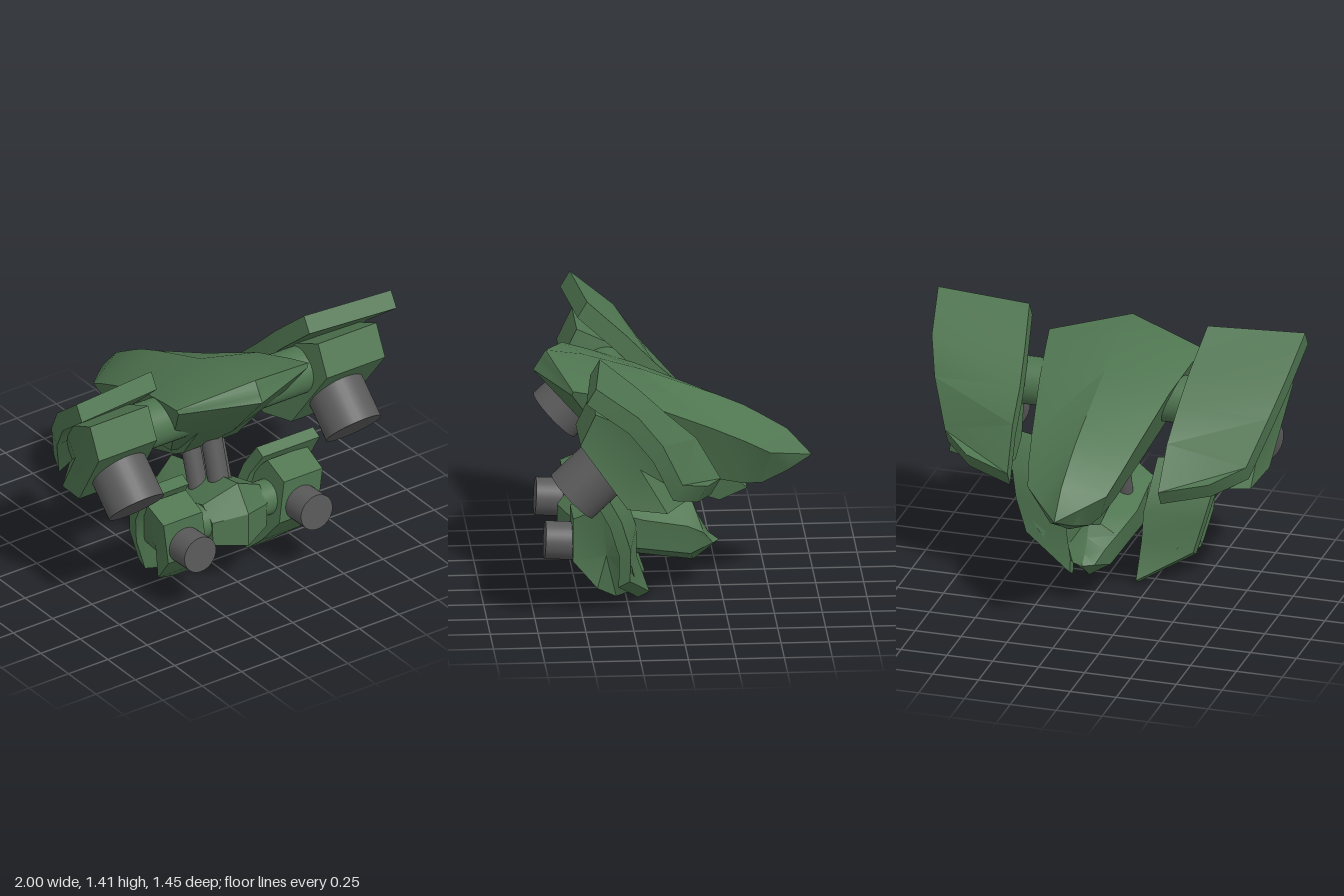
import * as THREE from 'three';
import { toCreasedNormals } from 'three/addons/utils/BufferGeometryUtils.js';

const green = new THREE.MeshStandardMaterial({ color: 0x4f7550 });
const grey = new THREE.MeshStandardMaterial({ color: 0x5a5a5a });

// Skins a row of equal-length rings into a closed solid, facing outward.
function loft(rings) {
  const tris = [];
  const n = rings[0].length;
  const P = rings.map(r => r.map(p => new THREE.Vector3(...p)));
  for (let i = 0; i < P.length - 1; i++) {
    for (let j = 0; j < n; j++) {
      const k = (j + 1) % n;
      tris.push([P[i][j], P[i][k], P[i + 1][k]], [P[i][j], P[i + 1][k], P[i + 1][j]]);
    }
  }
  const cap = (ring, flip) => {
    const c = new THREE.Vector3();
    ring.forEach(p => c.addScaledVector(p, 1 / n));
    ring.forEach((p, j) => {
      const q = ring[(j + 1) % n];
      tris.push(flip ? [c, q, p] : [c, p, q]);
    });
  };
  cap(P[0], true);
  cap(P[P.length - 1], false);
  const volume = tris.reduce((v, [a, b, c]) => v + a.dot(b.clone().cross(c)), 0);
  const pos = [];
  for (const [a, b, c] of tris) {
    for (const p of volume > 0 ? [a, b, c] : [a, c, b]) pos.push(p.x, p.y, p.z);
  }
  const g = new THREE.BufferGeometry();
  g.setAttribute('position', new THREE.Float32BufferAttribute(pos, 3));
  return toCreasedNormals(g, 0.48);
}

function part(name, geometry, material = green) {
  const m = new THREE.Mesh(geometry, material);
  m.name = name;
  return m;
}

// Cylinder running between two points.
function rod(name, a, b, radius, material) {
  const A = new THREE.Vector3(...a), B = new THREE.Vector3(...b);
  const m = part(name, new THREE.CylinderGeometry(radius, radius, A.distanceTo(B), 32), material);
  m.position.copy(A).lerp(B, 0.5);
  m.quaternion.setFromUnitVectors(new THREE.Vector3(0, 1, 0), B.sub(A).normalize());
  return m;
}

// Symmetric hull: each station is [top, side, lower side, bottom].
function hull(stations) {
  const flip = p => [-p[0], p[1], p[2]];
  return loft(stations.map(([t, s, l, b]) => [t, s, l, b, flip(l), flip(s)]));
}

// Curved plate between an outer and an inner edge, with a thickness offset.
function plate(side, pairs, dy, dz) {
  return loft(pairs.map(([o, i]) => [
    [side * o[0], o[1], o[2]], [side * i[0], i[1], i[2]],
    [side * i[0], i[1] + dy, i[2] + dz], [side * o[0], o[1] + dy, o[2] + dz],
  ]));
}

// Block from corners [z, y, inner x, outer x] in order round its side.
function block(side, corners) {
  return loft([2, 3].map(i => corners.map(c => [side * c[i], c[1], c[0]])));
}

export function createModel() {
  const model = new THREE.Group();
  model.name = 'flyer';

  // The first station of each hull is its vertical nose edge
  model.add(part('upperHull', hull([
    [[0, 1.305, 0.66], [0, 1.27, 0.682], [0, 1.235, 0.703], [0, 1.2, 0.725]],
    [[0, 1.305, 0.66], [0.42, 1.21, 0.545], [0.41, 1.185, 0.55], [0, 1.2, 0.725]],
    [[0, 1.28, 0.47], [0.395, 1.175, 0.4], [0.335, 0.96, 0.4], [0, 0.89, 0.45]],
    [[0, 1.19, 0.16], [0.355, 1.11, 0.17], [0.2, 0.71, 0.18], [0, 0.65, 0.16]],
    [[0, 1.045, -0.23], [0.285, 0.945, -0.2], [0.17, 0.64, -0.2], [0, 0.56, -0.2]],
    [[0, 0.985, -0.37], [0.25, 0.86, -0.37], [0.14, 0.6, -0.36], [0, 0.56, -0.38]],
    [[0, 0.94, -0.45], [0.215, 0.785, -0.5], [0.11, 0.59, -0.46], [0, 0.56, -0.475]],
    [[0, 0.85, -0.6], [0.12, 0.75, -0.605], [0.06, 0.64, -0.6], [0, 0.63, -0.6]],
    [[0, 0.71, -0.725], [0.003, 0.705, -0.725], [0.003, 0.704, -0.725], [0, 0.7, -0.725]],
  ])));

  // Keel under the upper hull, narrowing downwards
  model.add(part('keel', block(1, [
    [0.42, 0.93, -0.2, 0.2], [0.25, 0.72, -0.17, 0.17], [0.1, 0.62, -0.12, 0.12],
    [-0.24, 0.497, -0.1, 0.1], [-0.385, 0.56, -0.1, 0.1], [-0.2, 0.75, -0.16, 0.16],
  ])));

  model.add(part('lowerHull', hull([
    [[0, 0.46, 0.6], [0, 0.4, 0.6], [0, 0.33, 0.6], [0, 0.27, 0.6]],
    [[0, 0.46, 0.6], [0.175, 0.425, 0.52], [0.17, 0.29, 0.52], [0, 0.27, 0.6]],
    [[0, 0.6, 0.5], [0.18, 0.5, 0.44], [0.175, 0.29, 0.42], [0, 0.24, 0.48]],
    [[0, 0.53, 0.12], [0.18, 0.42, 0.16], [0.15, 0.26, 0.2], [0, 0.19, 0.226]],
    [[0, 0.475, -0.1], [0.14, 0.37, -0.07], [0.11, 0.21, -0.09], [0, 0.145, -0.11]],
    [[0, 0.37, -0.145], [0.1, 0.32, -0.16], [0.06, 0.25, -0.21], [0, 0.25, -0.245]],
  ])));

  // Struts joining the two hulls
  model.add(rod('frontStrut', [0, 0.8, 0.25], [0, 0.42, 0.36], 0.057, grey));
  model.add(rod('backStrut', [0, 0.72, 0.05], [0, 0.5, 0.13], 0.05, grey));

  for (const s of [1, -1]) {
    const label = s > 0 ? 'left' : 'right';
    model.add(rod(label + 'Strut', [s * 0.075, 0.78, 0.155], [s * 0.075, 0.36, 0.285], 0.052, grey));

    // Upper arm: axle, pod, gun and wing plate
    model.add(rod(label + 'UpperAxle', [s * 0.15, 1.015, 0.31], [s * 0.62, 1.015, 0.31], 0.127, green));
    model.add(part(label + 'UpperPod', block(s, [
      [0.46, 1.24, 0.54, 0.91], [0.54, 1.07, 0.54, 0.91], [0.29, 0.7, 0.49, 0.86], [0.08, 0.66, 0.46, 0.82],
      [-0.05, 0.7, 0.45, 0.68], [0.04, 0.88, 0.48, 0.78], [0.2, 1.12, 0.53, 0.9],
    ])));
    model.add(rod(label + 'UpperGun', [s * 0.69, 0.727, 0.568], [s * 0.69, 0.92, 0.365], 0.157, grey));
    model.add(part(label + 'UpperWing', plate(s, [
      [[1, 1.41, 0.465], [0.485, 1.405, 0.41]],
      [[0.965, 1.235, 0.24], [0.45, 1.23, 0.21]],
      [[0.91, 1.06, 0.11], [0.43, 1.083, 0.06]],
      [[0.82, 0.815, 0], [0.42, 0.94, -0.1]],
      [[0.66, 0.755, -0.14], [0.41, 0.715, -0.226]],
    ], -0.085, 0.05)));

    // Lower arm: axle, pod, gun and wing plate
    model.add(rod(label + 'LowerAxle', [s * 0.1, 0.395, 0.42], [s * 0.34, 0.395, 0.42], 0.095, green));
    model.add(part(label + 'LowerPod', block(s, [
      [0.4, 0.6, 0.26, 0.51], [0.55, 0.54, 0.26, 0.505], [0.55, 0.3, 0.23, 0.475], [0.42, 0.14, 0.21, 0.45],
      [0.31, 0.04, 0.195, 0.28], [0.2, 0.08, 0.195, 0.28], [0.25, 0.3, 0.23, 0.46], [0.3, 0.5, 0.25, 0.5],
    ])));
    model.add(rod(label + 'LowerGun', [s * 0.37, 0.388, 0.69], [s * 0.37, 0.379, 0.53], 0.1, grey));
    model.add(part(label + 'LowerWing', plate(s, [
      [[0.56, 0.69, 0.385], [0.235, 0.655, 0.335]],
      [[0.55, 0.53, 0.3], [0.22, 0.51, 0.237]],
      [[0.51, 0.36, 0.25], [0.2, 0.396, 0.2]],
      [[0.455, 0.175, 0.25], [0.19, 0.233, 0.198]],
      [[0.32, 0.105, 0.19], [0.18, 0.03, 0.13]],
    ], -0.03, 0.06)));
  }
  return model;
}
